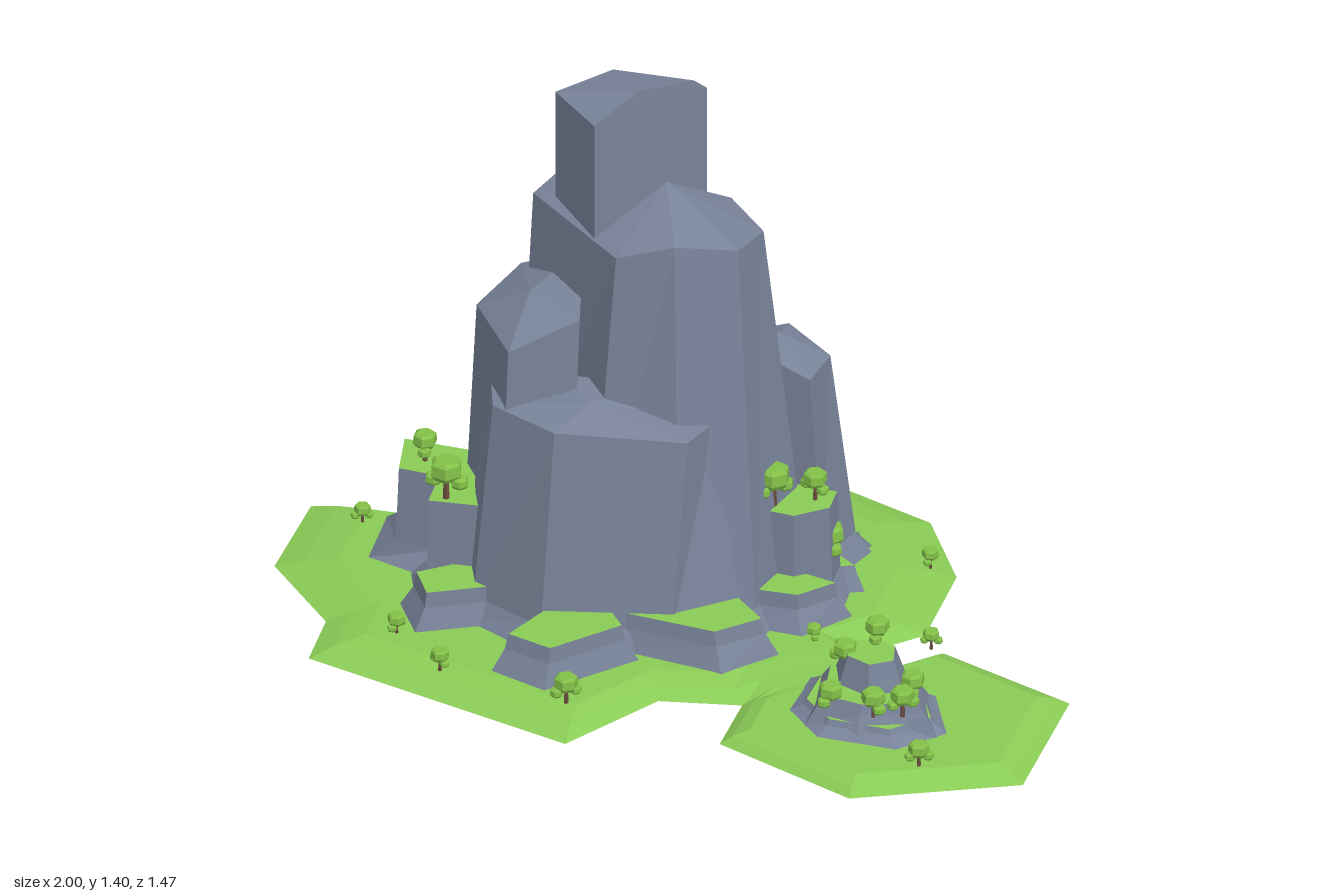
import * as THREE from 'three';

const material = (color) => new THREE.MeshStandardMaterial({ color, flatShading: true, side: THREE.DoubleSide });
const rock = material(0x788298);
const grass = material(0x8acb56);
const leaf = material(0x82c048);
const bark = material(0x6b4a3c);

// Faceted mesh from a list of triangle corners
function facets(name, tris, mat) {
  const geo = new THREE.BufferGeometry().setFromPoints(tris);
  geo.computeVertexNormals();
  const mesh = new THREE.Mesh(geo, mat);
  mesh.name = name;
  return mesh;
}

// Walls between rings of equal count (bottom to top), closed by a fan to a peak
function loft(name, rings, peak, wallMat, capMat = wallMat) {
  const n = rings[0].length;
  const area = rings[0].reduce((s, p, i) => {
    const q = rings[0][(i + 1) % n];
    return s + p.x * q.z - q.x * p.z;
  }, 0);
  if (area > 0) rings = rings.map((r) => [...r].reverse());
  const walls = [];
  const cap = [];
  for (let i = 0; i < n; i++) {
    const j = (i + 1) % n;
    for (let k = 0; k + 1 < rings.length; k++) {
      const [a, b] = [rings[k], rings[k + 1]];
      walls.push(a[i], a[j], b[j], a[i], b[j], b[i]);
    }
    const top = rings[rings.length - 1];
    cap.push(top[i], top[j], peak);
  }
  const group = new THREE.Group();
  group.name = name;
  group.add(facets(name + 'Walls', walls, wallMat), facets(name + 'Top', cap, capMat));
  return group;
}

const mean = (pts) => pts.reduce((s, p) => s.add(p), new THREE.Vector3()).divideScalar(pts.length);

// Rock column with a flared foot; each point is [footX, footZ, topX, topY, topZ]
function column(name, pts, peak, { foot = 0.09, flare = 0.04, capMat = rock } = {}) {
  const base = pts.map(([x, z]) => new THREE.Vector3(x, foot, z));
  const top = pts.map(([, , x, y, z]) => new THREE.Vector3(x, y, z));
  const c = mean(base);
  const rings = [base, top];
  if (flare) rings.unshift(base.map((p) => p.clone().add(p.clone().sub(c).setLength(flare)).setY(0.033)));
  return loft(name, rings, peak ? new THREE.Vector3(...peak) : mean(top), rock, capMat);
}

// Low rock step with a grassy top
function ledge(name, height, outline, taper = 0.94, flare = 0.035) {
  const c = mean(outline.map(([x, z]) => new THREE.Vector3(x, 0, z)));
  const pts = outline.map(([x, z]) => [x, z, c.x + (x - c.x) * taper, height, c.z + (z - c.z) * taper]);
  return column(name, pts, null, { foot: Math.min(0.09, height - 0.015), flare, capMat: grass });
}

// Flat-topped island with a bevelled shore; an outline point may carry its own height
function island(name, outline, [cx, cz]) {
  const ring = (s, h) => outline.map(([x, z, y = 0]) =>
    new THREE.Vector3(cx + (x - cx) * s, Math.max(h, y), cz + (z - cz) * s));
  return loft(name, [ring(1, 0), ring(0.92, 0.02), ring(0.82, 0.035)], new THREE.Vector3(cx, 0.036, cz), grass);
}

// Tree with a thin trunk and clumps of blocky foliage
const clump = new THREE.LatheGeometry(
  [[0, -0.5], [0.42, -0.47], [0.55, -0.2], [0.52, 0.35], [0.38, 0.5], [0, 0.5]].map((p) => new THREE.Vector2(...p)), 6);
const trunk = new THREE.CylinderGeometry(0.05, 0.08, 0.6, 5);
function tree(x, y, z, h, turn) {
  const group = new THREE.Group();
  group.name = 'tree';
  const stem = new THREE.Mesh(trunk, bark);
  stem.name = 'trunk';
  stem.position.y = 0.3;
  group.add(stem);
  const clumps = [[0, 0.76, 0, 0.68, 0.48], [0.3, 0.48, 0.1, 0.38, 0.26], [-0.28, 0.45, -0.1, 0.36, 0.24]];
  for (const [px, py, pz, w, t] of clumps) {
    const m = new THREE.Mesh(clump, leaf);
    m.name = 'foliage';
    m.position.set(px, py, pz);
    m.scale.set(w, t, w);
    group.add(m);
  }
  group.position.set(x, y, z);
  group.rotation.y = turn;
  group.scale.setScalar(h);
  return group;
}

export function createModel() {
  const model = new THREE.Group();
  model.name = 'rockyIsland';

  // Ground: two islands joined by a raised neck
  const neck = [[0.53, 0.17], [0.46, 0.222, 0.032], [0.31, 0.337, 0.032], [0.24, 0.39]];
  model.add(island('mainIsland', [
    [-0.44, -0.74], [-0.27, -0.74], [0.09, -0.67], [0.48, -0.51], [0.6, -0.29], [0.59, -0.02],
    [0.46, 0.1], ...neck, [0.04, 0.42], [-0.13, 0.66], [-0.82, 0.44], [-0.82, 0.27],
    [-1, 0.06], [-0.98, -0.22], [-0.66, -0.22], [-0.71, -0.37], [-0.64, -0.62], [-0.44, -0.62],
  ], [-0.15, -0.05]));
  model.add(island('smallIsland', [
    [0.66, 0.05], [1, 0.19], [0.98, 0.57], [0.59, 0.73], [0.23, 0.57], ...[...neck].reverse(),
  ], [0.6, 0.41]));

  // Central mountain
  model.add(column('summitTower', [
    [-0.35, -0.12, -0.35, 1.34, -0.12], [-0.22, 0.015, -0.22, 1.345, 0.015], [-0.07, -0.1, -0.07, 1.4, -0.1],
    [0.01, -0.18, 0.01, 1.37, -0.18], [-0.04, -0.25, -0.04, 1.34, -0.25], [-0.24, -0.25, -0.24, 1.34, -0.25],
  ], [-0.15, 1.365, -0.13], { foot: 0.9, flare: 0 }));
  model.add(column('mountainCore', [
    [-0.46, -0.16, -0.41, 1.03, -0.14], [-0.2, 0.16, -0.15, 1.02, 0.08], [0.03, 0.18, -0.01, 1.06, 0.06],
    [0.2, 0.1, 0.13, 1.03, -0.01], [0.27, -0.13, 0.16, 1.01, -0.14], [0.2, -0.3, 0.06, 1.04, -0.22],
    [-0.2, -0.38, -0.2, 1.06, -0.235], [-0.4, -0.3, -0.35, 1.07, -0.22],
  ], [-0.07, 1.14, -0.1]));
  model.add(column('backButtress', [
    [-0.38, -0.2, -0.33, 0.84, -0.2], [-0.32, -0.37, -0.28, 0.81, -0.33], [-0.22, -0.48, -0.18, 0.79, -0.43],
    [0.16, -0.41, 0.06, 0.8, -0.4], [0.22, -0.2, 0.12, 0.85, -0.24],
  ], [-0.1, 0.845, -0.34]));
  model.add(column('backSlab', [
    [-0.27, -0.46, -0.26, 0.53, -0.42], [-0.42, -0.3, -0.38, 0.54, -0.29],
    [-0.46, -0.15, -0.43, 0.57, -0.15], [-0.2, -0.2, -0.2, 0.6, -0.2],
  ], [-0.32, 0.58, -0.27]));
  model.add(column('lowBackButtress', [
    [-0.4, -0.3, -0.37, 0.33, -0.3], [-0.23, -0.55, -0.21, 0.3, -0.51],
    [0.18, -0.42, 0.14, 0.31, -0.4], [0.1, -0.2, 0.1, 0.33, -0.2],
  ]));
  model.add(column('sideButtress', [
    [0.3, -0.16, 0.27, 0.59, -0.16], [0.35, -0.29, 0.29, 0.59, -0.28],
    [0.2, -0.4, 0.17, 0.62, -0.35], [0.05, -0.2, 0.05, 0.66, -0.2],
  ], [0.17, 0.65, -0.26]));
  model.add(column('shoulder', [
    [-0.56, -0.05, -0.52, 0.77, -0.02], [-0.41, 0.21, -0.39, 0.78, 0.185], [-0.25, 0.15, -0.24, 0.83, 0.08],
    [-0.3, -0.25, -0.3, 0.85, -0.2], [-0.5, -0.2, -0.45, 0.8, -0.18],
  ], [-0.38, 0.85, 0.01]));
  model.add(column('frontSlab', [
    [-0.54, 0.02, -0.47, 0.62, 0.04], [-0.47, 0.21, -0.43, 0.62, 0.18], [-0.28, 0.3, -0.26, 0.61, 0.25],
    [0.03, 0.24, 0.05, 0.58, 0.17], [0.17, 0.13, 0.09, 0.58, 0.06], [-0.1, 0, -0.1, 0.64, 0.03],
    [-0.3, 0, -0.3, 0.65, 0.05],
  ], [-0.2, 0.64, 0.14]));

  // Grassy ledges: name, height, outline, taper, flare of the foot
  const ledges = [
    ['leftHighLedge', 0.3, [[-0.73, -0.12], [-0.71, 0.02], [-0.6, 0.03], [-0.6, 0.15], [-0.42, 0.14], [-0.42, -0.1]], 0.94, 0.07],
    ['rightHighLedge', 0.3, [[0.1, -0.02], [0.27, 0], [0.35, -0.06], [0.35, -0.14], [0.1, -0.16]]],
    ['frontLeftLedge', 0.13, [[-0.62, 0.2], [-0.57, 0.29], [-0.42, 0.22], [-0.45, 0.08]]],
    ['frontLedge', 0.13, [[-0.34, 0.42], [-0.22, 0.46], [-0.07, 0.31], [-0.15, 0.2], [-0.25, 0.23]]],
    ['frontRightLedge', 0.13, [[-0.09, 0.26], [0.15, 0.29], [0.25, 0.2], [0.12, 0.07], [-0.05, 0.15]]],
    ['rightLowLedge', 0.13, [[0.2, 0.08], [0.3, 0.08], [0.38, 0], [0.2, -0.05]]],
    ['rightBackLedge', 0.09, [[0.2, -0.08], [0.39, -0.14], [0.3, -0.2], [0.36, -0.3], [0.2, -0.38]]],
    ['backLeftLedge', 0.15, [[-0.44, -0.44], [-0.5, -0.3], [-0.38, -0.22], [-0.25, -0.36]]],
    ['smallRockFoot', 0.07, [[0.41, 0.3], [0.4, 0.43], [0.48, 0.51], [0.64, 0.52], [0.73, 0.44], [0.67, 0.31], [0.55, 0.34]]],
    ['smallRockStep', 0.115, [[0.43, 0.33], [0.45, 0.48], [0.56, 0.5], [0.71, 0.46], [0.66, 0.32]], 0.88],
    ['smallRockCrown', 0.19, [[0.45, 0.33], [0.48, 0.42], [0.57, 0.46], [0.65, 0.41], [0.63, 0.31], [0.54, 0.28]], 0.65],
  ];
  for (const spec of ledges) model.add(ledge(...spec));

  // Trees: x, ground height, z, tree height
  const trees = [
    [-0.49, 0.03, -0.5, 0.06], [-0.36, 0.15, -0.33, 0.09], [-0.6, 0.03, -0.19, 0.055], [-0.83, 0.03, -0.13, 0.055],
    [-0.65, 0.3, -0.03, 0.08], [-0.56, 0.3, 0.12, 0.11], [-0.63, 0.03, 0.33, 0.06], [-0.49, 0.03, 0.46, 0.06],
    [-0.16, 0.03, 0.53, 0.08], [0.35, 0.03, 0.12, 0.05], [0.63, 0.03, 0.08, 0.055], [0.54, 0.03, -0.27, 0.055],
    [0.3, 0.3, -0.09, 0.08], [0.21, 0.3, -0.04, 0.11], [0.33, 0.12, -0.11, 0.1], [0.73, 0.03, 0.6, 0.07],
    [0.56, 0.18, 0.33, 0.08], [0.49, 0.13, 0.37, 0.08], [0.48, 0.07, 0.47, 0.08], [0.59, 0.08, 0.49, 0.08],
    [0.66, 0.09, 0.48, 0.08], [0.67, 0.1, 0.42, 0.08],
  ];
  trees.forEach(([x, y, z, h], i) => model.add(tree(x, y, z, h, i * 1.3)));
  return model;
}
